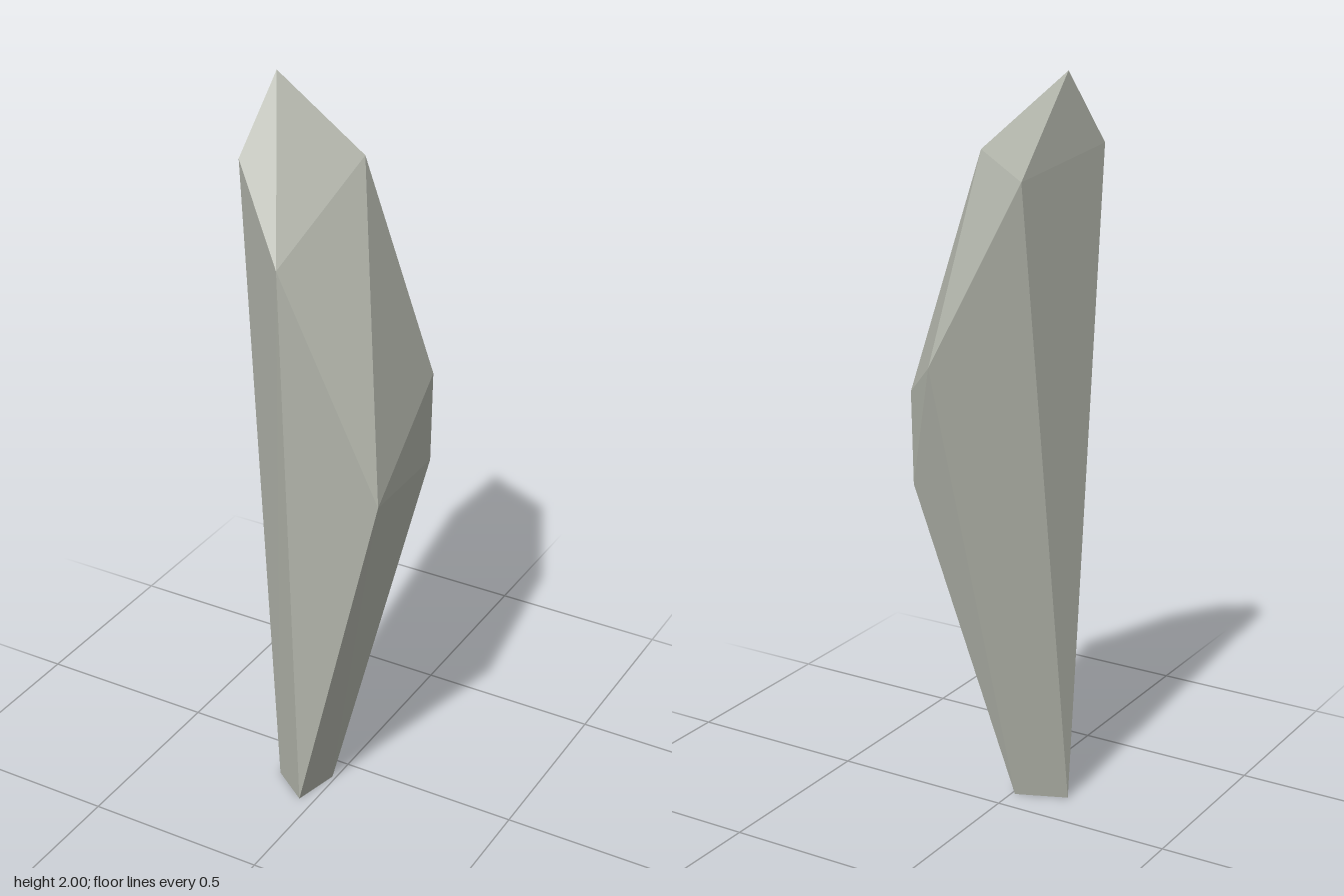
import * as THREE from 'three';
import { ConvexGeometry } from 'three/addons/geometries/ConvexGeometry.js';

// Faceted stone shard: a narrow foot, a wide waist and a slanted, pointed crown.
export function createModel() {
  const group = new THREE.Group();
  group.name = 'stoneShard';

  const stone = new THREE.MeshStandardMaterial({ color: 0xb2b5ab });
  stone.name = 'paleStone';

  // Corners as [x, y, z], in rings from the ground up
  const foot = [[-0.145, 0, 0.126], [-0.04, 0, 0.2], [-0.01, 0, 0.07]];
  const waist = [
    [0.225, 1.025, 0.248],
    [0.153, 0.94, -0.167],
    [0.153, 1.19, -0.175],
    [0.047, 1.285, -0.257],
  ];
  const crown = [
    [-0.052, 1.6, 0.255],
    [-0.226, 1.81, 0.134],
    [-0.155, 1.75, -0.151],
    [0.016, 1.8, -0.057],
  ];
  const tip = [[-0.193, 2, 0.006]];

  // Flat facets wrapped around the corners
  const corners = [...foot, ...waist, ...crown, ...tip].map((p) => new THREE.Vector3(...p));
  const shard = new THREE.Mesh(new ConvexGeometry(corners), stone);
  shard.name = 'shard';
  group.add(shard);

  return group;
}
